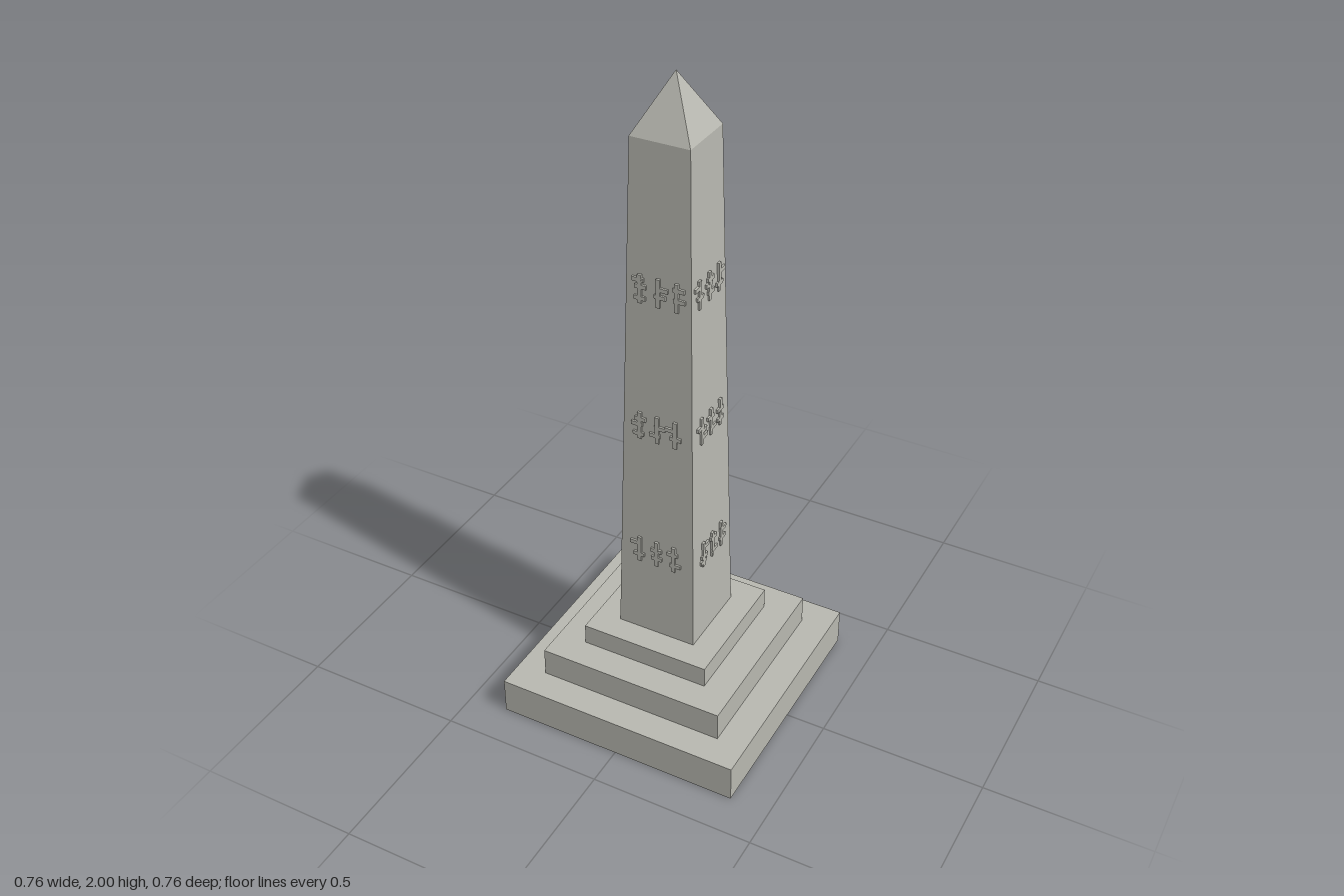
import * as THREE from 'three';

export function createModel() {
  const model = new THREE.Group();
  const stone = new THREE.MeshStandardMaterial({ color: 0xb8b8b0, flatShading: true });
  stone.name = 'grey stone';

  const add = (parent, name, geometry, x, y, z) => {
    const mesh = new THREE.Mesh(geometry, stone);
    mesh.name = name;
    mesh.position.set(x, y, z);
    parent.add(mesh);
    return mesh;
  };

  // Square frustum given by half widths and its bottom and top heights
  const frustum = (name, bottomHalf, topHalf, y0, y1) => {
    const g = new THREE.CylinderGeometry(topHalf * Math.SQRT2, bottomHalf * Math.SQRT2, y1 - y0, 4);
    g.rotateY(Math.PI / 4);
    add(model, name, g, 0, (y0 + y1) / 2, 0);
  };

  // Stepped base
  const steps = [[0.38, 0, 0.115], [0.29, 0.115, 0.205], [0.2, 0.205, 0.27]];
  steps.forEach(([half, y0, y1], i) =>
    add(model, `baseStep${i + 1}`, new THREE.BoxGeometry(half * 2, y1 - y0, half * 2), 0, (y0 + y1) / 2, 0));

  // Tapered shaft and pyramid cap
  const shaft = { y0: 0.27, y1: 1.84, bottom: 0.123, top: 0.087 };
  frustum('shaft', shaft.bottom, shaft.top, shaft.y0, shaft.y1);
  frustum('cap', shaft.top, 0, shaft.y1, 2);
  const halfAt = (y) =>
    THREE.MathUtils.lerp(shaft.bottom, shaft.top, (y - shaft.y0) / (shaft.y1 - shaft.y0));

  // Small seeded generator for the irregular relief strokes
  let seed = 11;
  const random = () => {
    seed = (seed * 16807) % 2147483647;
    return seed / 2147483647;
  };

  // Abstract relief marks: an upright crossed by short bars, three per band
  const upright = new THREE.BoxGeometry(0.012, 0.085, 0.012);
  const bar = new THREE.BoxGeometry(0.034, 0.012, 0.0118);
  for (let side = 0; side < 4; side++) {
    const face = new THREE.Group();
    face.name = `reliefFace${side + 1}`;
    face.rotation.y = side * Math.PI / 2;
    for (const y of [0.5625, 0.99, 1.4175]) {
      const z = halfAt(y);
      for (const x of [-0.055, 0, 0.055]) {
        add(face, 'reliefUpright', upright, x, y, z);
        const count = random() < 0.7 ? 2 : 3;
        for (let i = 0; i < count; i++) {
          const dx = (random() - 0.5) * 0.028;
          const dy = ((i + 0.5) / count - 0.5) * 0.062 + (random() - 0.5) * 0.016;
          add(face, 'reliefBar', bar, x + dx, y + dy, z);
        }
      }
    }
    model.add(face);
  }
  return model;
}
